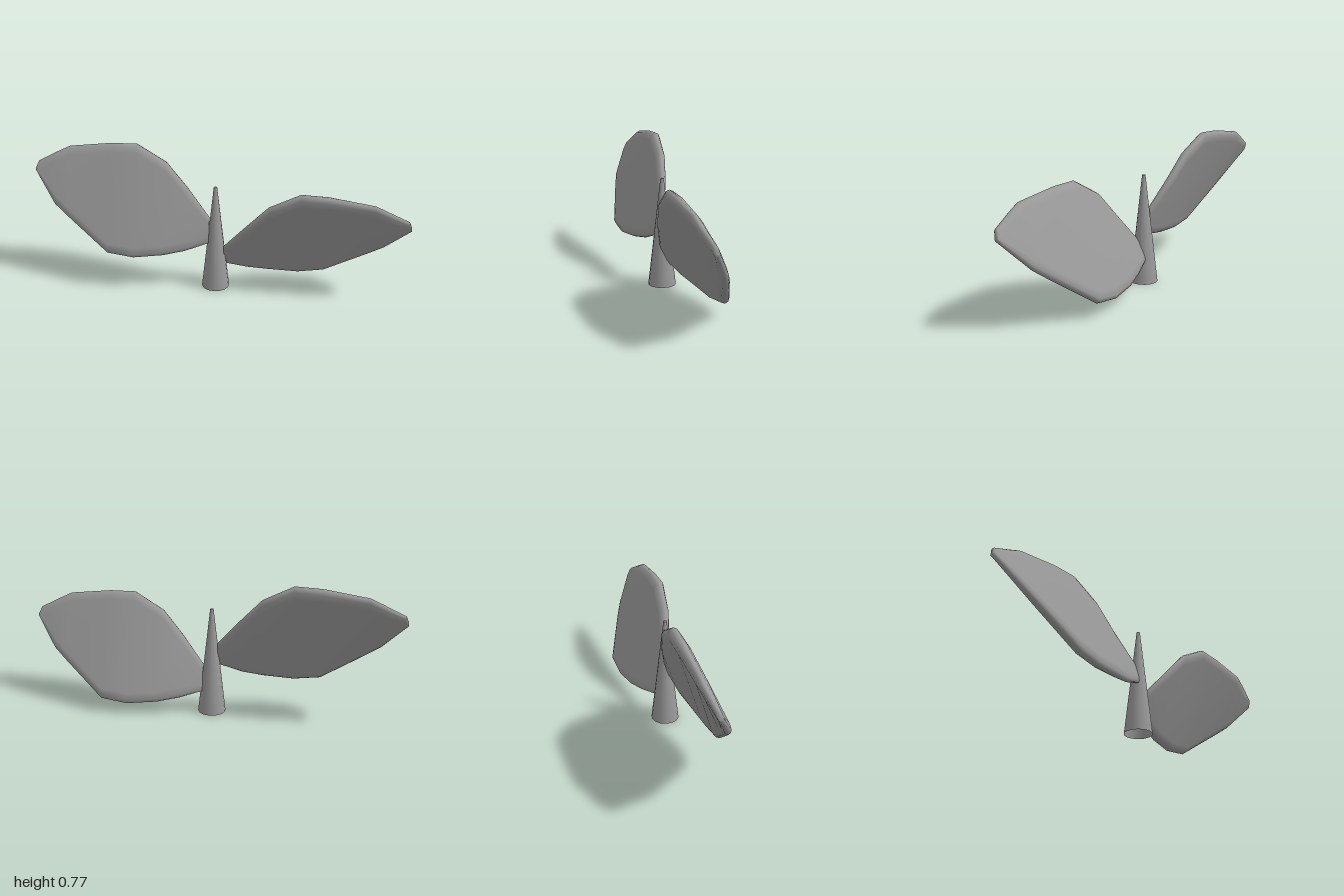
import * as THREE from 'three';

const grey = new THREE.MeshStandardMaterial({ color: 0x999999, side: THREE.DoubleSide });

// Half of a rounded-rim section: [far edge?, rim inset fraction, fraction of half thickness]
const half = [[0, 0, -0.3], [0, 0.3, -0.75], [0, 1, -1], [1, 1, -1], [1, 0.3, -0.75], [1, 0, -0.3]];
const section = [...half, ...half.map(([e, s, k]) => [e, s, -k]).reverse()];

// Blade lofted along +x; stations are [x, topY, topZ, bottomY, bottomZ, half thickness]
function bladeGeometry(stations) {
  const pos = [], idx = [], n = section.length;
  for (const [x, ty, tz, by, bz, h] of stations) {
    const len = Math.hypot(ty - by, tz - bz);
    const dy = (ty - by) / len, dz = (tz - bz) / len;
    const rim = Math.min(0.05, len * 0.25);
    for (const [end, s, k] of section) {
      const d = end ? len - rim * s : rim * s;
      pos.push(x, by + dy * d - dz * h * k, bz + dz * d + dy * h * k);
    }
  }
  for (let i = 0; i < stations.length - 1; i++) {
    for (let j = 0; j < n; j++) {
      const a = i * n + j, b = i * n + (j + 1) % n;
      idx.push(a, b, a + n, b, b + n, a + n);
    }
  }
  // End caps
  const last = (stations.length - 1) * n;
  for (let j = 1; j < n - 1; j++) {
    idx.push(0, j + 1, j, last, last + j, last + j + 1);
  }
  const geo = new THREE.BufferGeometry();
  geo.setAttribute('position', new THREE.Float32BufferAttribute(pos, 3));
  geo.setIndex(idx);
  geo.computeVertexNormals();
  return geo;
}

// Shared upper edge: [x, y, z, half thickness]
const upper = [
  [0.04, 0.25, 0.02, 0.014], [0.165, 0.398, 0.07, 0.023], [0.28, 0.525, 0.1, 0.028],
  [0.44, 0.612, 0.122, 0.031], [0.58, 0.608, 0.128, 0.031], [0.81, 0.578, 0.138, 0.026],
  [0.88, 0.545, 0.132, 0.022], [0.985, 0.493, 0.118, 0.015], [1.0, 0.455, 0.102, 0.011],
];
// Lower edges: [y, z] at the same stations
const lowerLeft = [
  [0.125, -0.04], [0.09, -0.075], [0.07, -0.105], [0.056, -0.125], [0.077, -0.128],
  [0.245, -0.028], [0.298, 0.005], [0.425, 0.085], [0.445, 0.097],
];
const lowerRight = [
  [0.118, -0.02], [0.075, -0.043], [0.054, -0.066], [0.04, -0.085], [0.06, -0.085],
  [0.235, -0.015], [0.29, 0.008], [0.425, 0.085], [0.445, 0.097],
];

function blade(name, lower) {
  const stations = upper.map(([x, y, z, h], i) => [x, y, z, ...lower[i], h]);
  const mesh = new THREE.Mesh(bladeGeometry(stations), grey);
  mesh.name = name;
  return mesh;
}

export function createModel() {
  const group = new THREE.Group();
  group.name = 'sprout';

  // Tapered stem, open underneath
  const stem = new THREE.Mesh(new THREE.CylinderGeometry(0.009, 0.075, 0.583, 14, 1, true), grey);
  stem.name = 'stem';
  stem.position.set(-0.006, 0.2915, -0.005);
  group.add(stem);

  const stemTip = new THREE.Mesh(new THREE.CircleGeometry(0.009, 14), grey);
  stemTip.name = 'stemTip';
  stemTip.rotation.x = -Math.PI / 2;
  stemTip.position.set(-0.006, 0.583, -0.005);
  group.add(stemTip);

  // Two leaves, the second turned half way round and set higher
  group.add(blade('leftLeaf', lowerLeft));
  const rightLeaf = blade('rightLeaf', lowerRight);
  rightLeaf.rotation.y = Math.PI;
  rightLeaf.position.y = 0.15;
  group.add(rightLeaf);

  return group;
}
